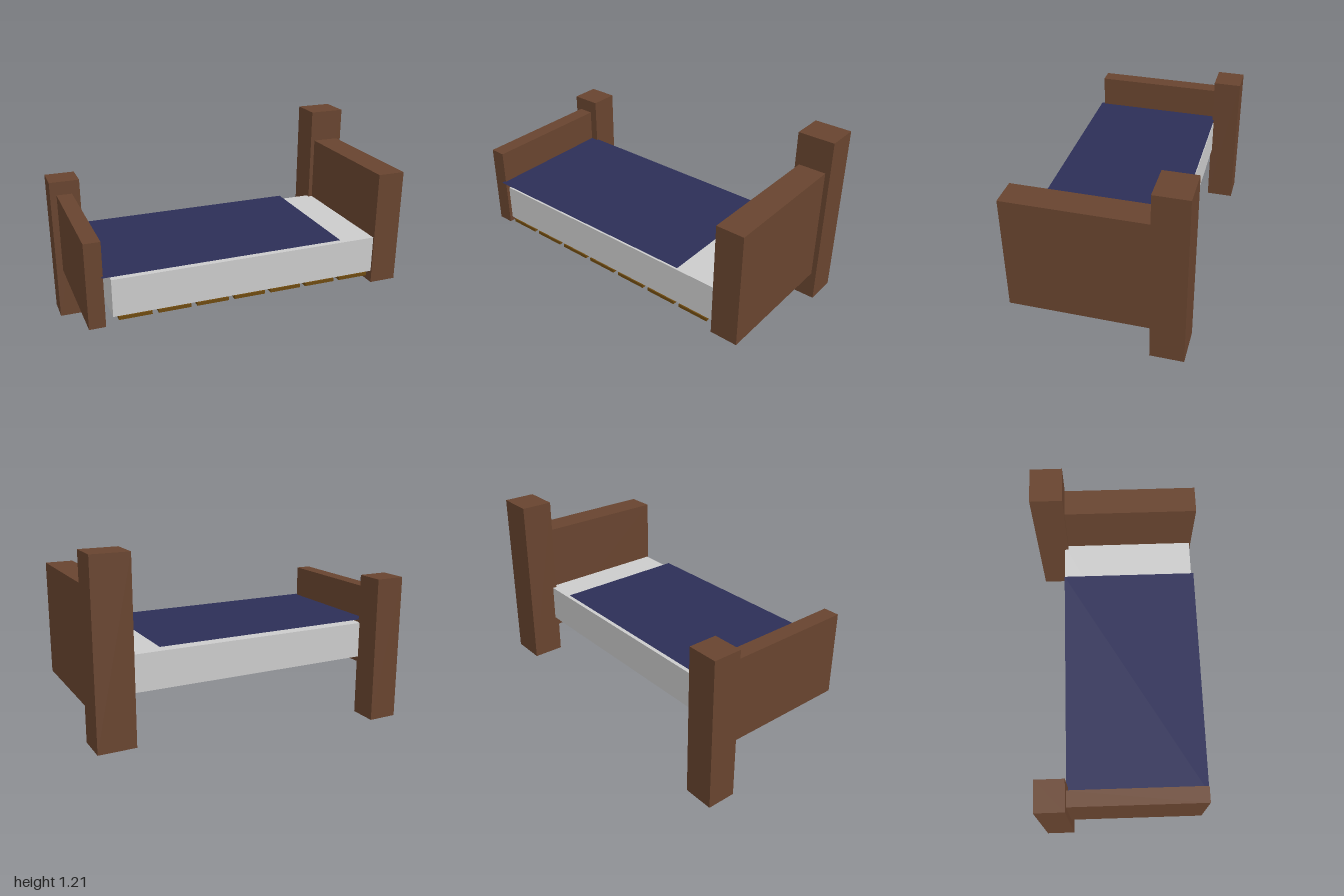
import * as THREE from 'three';

export function createModel() {
  const bed = new THREE.Group();
  bed.name = 'bed';

  const wood = new THREE.MeshStandardMaterial({ color: 0x68442f });
  const slatWood = new THREE.MeshStandardMaterial({ color: 0x6e4a10 });
  const cloth = new THREE.MeshStandardMaterial({ color: 0x2c2e57, side: THREE.DoubleSide });
  const grey = new THREE.MeshStandardMaterial({ color: 0xcccccc });

  // Box given by its extents along each axis
  function block(name, material, [x0, x1], [y0, y1], [z0, z1]) {
    const mesh = new THREE.Mesh(new THREE.BoxGeometry(x1 - x0, y1 - y0, z1 - z0), material);
    mesh.position.set((x0 + x1) / 2, (y0 + y1) / 2, (z0 + z1) / 2);
    mesh.name = name;
    bed.add(mesh);
  }

  // Foot end: post and board
  block('footPost', wood, [-1, -0.815], [0, 0.917], [-0.502, -0.327]);
  block('footboard', wood, [-0.96, -0.865], [0.323, 0.832], [-0.34, 0.482]);

  // Head end: taller post and board
  block('headPost', wood, [0.777, 1], [0.133, 1.205], [-0.507, -0.312]);
  block('headboard', wood, [0.803, 0.97], [0.308, 1.008], [-0.33, 0.502]);

  // Mattress
  block('mattress', grey, [-0.825, 0.805], [0.382, 0.606], [-0.337, 0.492]);

  // Row of slats under the front half of the mattress
  for (let i = 0; i < 7; i++) {
    const x = -0.795 + i * 0.2285;
    block('slat', slatWood, [x, x + 0.192], [0.36, 0.38], [0.065, 0.498]);
  }

  // Flat blanket sheet just above the mattress
  const sheet = new THREE.PlaneGeometry(1.44, 0.843).rotateX(-Math.PI / 2);
  const blanket = new THREE.Mesh(sheet, cloth);
  blanket.name = 'blanket';
  blanket.position.set(-0.155, 0.63, 0.083);
  bed.add(blanket);

  return bed;
}
